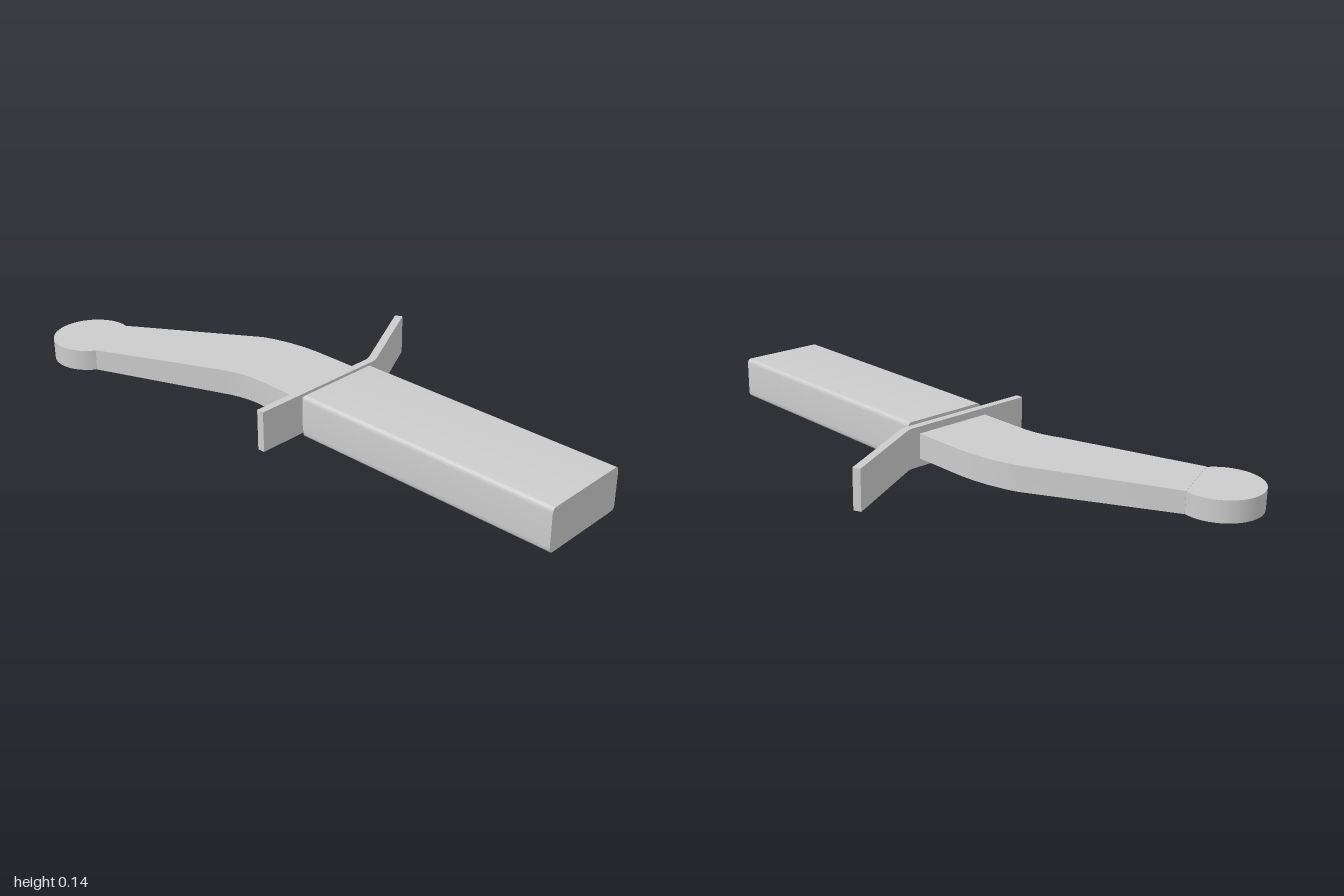
import * as THREE from 'three';
import { toCreasedNormals } from 'three/addons/utils/BufferGeometryUtils.js';

const material = new THREE.MeshStandardMaterial({ color: 0xcccccc });

function addMesh(group, name, geometry) {
  const mesh = new THREE.Mesh(geometry, material);
  mesh.name = name;
  group.add(mesh);
  return mesh;
}

// Lofted strip: each station is [back x, back z, front x, front z, bottom y, top y], running toward -x
function loft(stations) {
  const pos = [], index = [];
  for (const [bx, bz, fx, fz, y0, y1] of stations)
    pos.push(bx, y0, bz, bx, y1, bz, fx, y1, fz, fx, y0, fz);
  for (let i = 0; i < stations.length - 1; i++)
    for (let k = 0; k < 4; k++) {
      const a = i * 4 + k, b = i * 4 + (k + 1) % 4;
      index.push(a, a + 4, b, b, a + 4, b + 4);
    }
  const e = (stations.length - 1) * 4;
  index.push(0, 1, 2, 0, 2, 3, e, e + 2, e + 1, e, e + 3, e + 2);
  const geo = new THREE.BufferGeometry();
  geo.setAttribute('position', new THREE.Float32BufferAttribute(pos, 3));
  geo.setIndex(index);
  return toCreasedNormals(geo, 0.5);
}

// Long block with softly rounded edges, extruded along x
function blockGeometry() {
  const w = 0.158, h = 0.0725, rx = 0.014, ry = 0.02;
  const s = new THREE.Shape();
  s.moveTo(-w + rx, -h);
  s.lineTo(w - rx, -h);
  s.quadraticCurveTo(w, -h, w, -h + ry);
  s.lineTo(w, h - ry);
  s.quadraticCurveTo(w, h, w - rx, h);
  s.lineTo(-w + rx, h);
  s.quadraticCurveTo(-w, h, -w, h - ry);
  s.lineTo(-w, -h + ry);
  s.quadraticCurveTo(-w, -h, -w + rx, -h);
  const geo = new THREE.ExtrudeGeometry(s, { depth: 0.945, bevelEnabled: false, curveSegments: 8 });
  return toCreasedNormals(geo.rotateY(Math.PI / 2).translate(0.055, h, 0.055), 0.6);
}

// Thin cross plate with its rear arm bent back, outlined from above
function guardGeometry() {
  const s = new THREE.Shape();
  const outline = [[0.012, 0.368], [0.038, 0.368], [0.038, -0.13], [0.033, -0.15],
    [-0.133, -0.471], [-0.158, -0.46], [0.008, -0.14], [0.012, -0.122]];
  s.setFromPoints(outline.map(([x, z]) => new THREE.Vector2(x, -z)));
  const geo = new THREE.ExtrudeGeometry(s, { depth: 0.138, bevelEnabled: false });
  return toCreasedNormals(geo.rotateX(-Math.PI / 2).translate(0, 0.004, 0), 0.5);
}

export function createModel() {
  const model = new THREE.Group();
  model.name = 'gripTool';

  addMesh(model, 'block', blockGeometry());

  // Short neck joining block and guard
  const neck = addMesh(model, 'neck', new THREE.BoxGeometry(0.04, 0.118, 0.288));
  neck.position.set(0.045, 0.073, 0.055);

  addMesh(model, 'guard', guardGeometry());

  // Curved handle, thinning slightly toward its end
  addMesh(model, 'handle', loft([
    [0.02, -0.09, 0.02, 0.195, 0.032, 0.118],
    [-0.18, -0.09, -0.18, 0.195, 0.032, 0.118],
    [-0.24, -0.086, -0.215, 0.198, 0.032, 0.118],
    [-0.30, -0.076, -0.25, 0.205, 0.032, 0.118],
    [-0.36, -0.06, -0.285, 0.216, 0.032, 0.118],
    [-0.40, -0.045, -0.32, 0.23, 0.032, 0.118],
    [-0.84, 0.205, -0.755, 0.405, 0.032, 0.105],
  ]));

  // Round end knob
  const knob = addMesh(model, 'endKnob', new THREE.CylinderGeometry(0.132, 0.132, 0.072, 48));
  knob.position.set(-0.868, 0.068, 0.335);

  return model;
}
